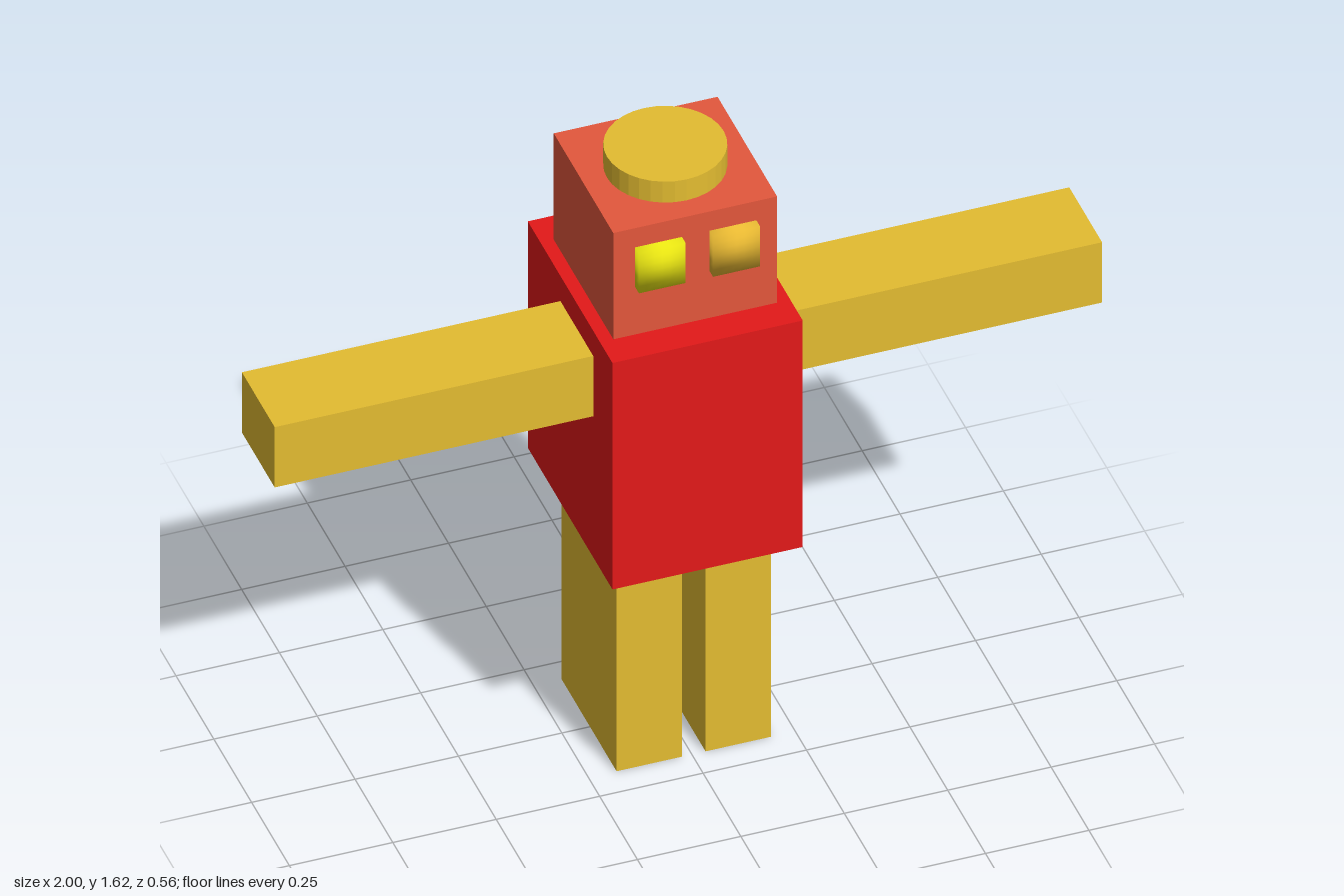
import * as THREE from 'three';

function material(name, color) {
  const m = new THREE.MeshStandardMaterial({ color });
  m.name = name;
  return m;
}

// Box given by its lower and upper corners
function block(name, mat, [x0, y0, z0], [x1, y1, z1], segments = 1) {
  const geometry = new THREE.BoxGeometry(x1 - x0, y1 - y0, z1 - z0, segments, segments, segments);
  const mesh = new THREE.Mesh(geometry, mat);
  mesh.position.set((x0 + x1) / 2, (y0 + y1) / 2, (z0 + z1) / 2);
  mesh.name = name;
  return mesh;
}

// Point the normals away from the centre so that shading runs smoothly around the box
function softened(mesh) {
  const { position, normal } = mesh.geometry.attributes;
  const v = new THREE.Vector3();
  for (let i = 0; i < position.count; i++) {
    v.fromBufferAttribute(position, i).normalize();
    normal.setXYZ(i, v.x, v.y, v.z);
  }
  return mesh;
}

export function createModel() {
  const gold = material('gold', 0xe3bc31);
  const red = material('red', 0xe31919);
  const coral = material('coral', 0xe3573c);
  const yellow = material('yellow', 0xf6f214);
  const amber = material('amber', 0xf0bf34);

  const group = new THREE.Group();
  group.name = 'blockRobot';

  // Body and head
  group.add(block('torso', red, [-0.23, 0.61, -0.28], [0.23, 1.26, 0.28]));
  group.add(block('head', coral, [-0.198, 1.26, -0.196], [0.198, 1.565, 0.198]));

  // Arms, held straight out
  group.add(block('rightArm', gold, [-1, 1.015, -0.064], [-0.2, 1.188, 0.153]));
  group.add(block('leftArm', gold, [0.2, 1.015, -0.064], [1, 1.188, 0.153]));

  // Legs
  group.add(block('rightLeg', gold, [-0.182, 0, -0.188], [-0.024, 0.61, 0.176]));
  group.add(block('leftLeg', gold, [0.033, 0, -0.188], [0.191, 0.61, 0.176]));

  // Eyes, sunk into the head
  group.add(softened(block('rightEye', yellow, [-0.145, 1.396, 0.11], [-0.032, 1.51, 0.223], 6)));
  group.add(softened(block('leftEye', amber, [0.034, 1.396, 0.11], [0.148, 1.51, 0.223], 6)));

  // Flat round cap with faceted sides
  const capGeometry = new THREE.CylinderGeometry(0.141, 0.141, 0.065, 32).toNonIndexed();
  capGeometry.computeVertexNormals();
  const cap = new THREE.Mesh(capGeometry, gold);
  cap.position.y = 1.5925;
  cap.name = 'cap';
  group.add(cap);

  return group;
}
